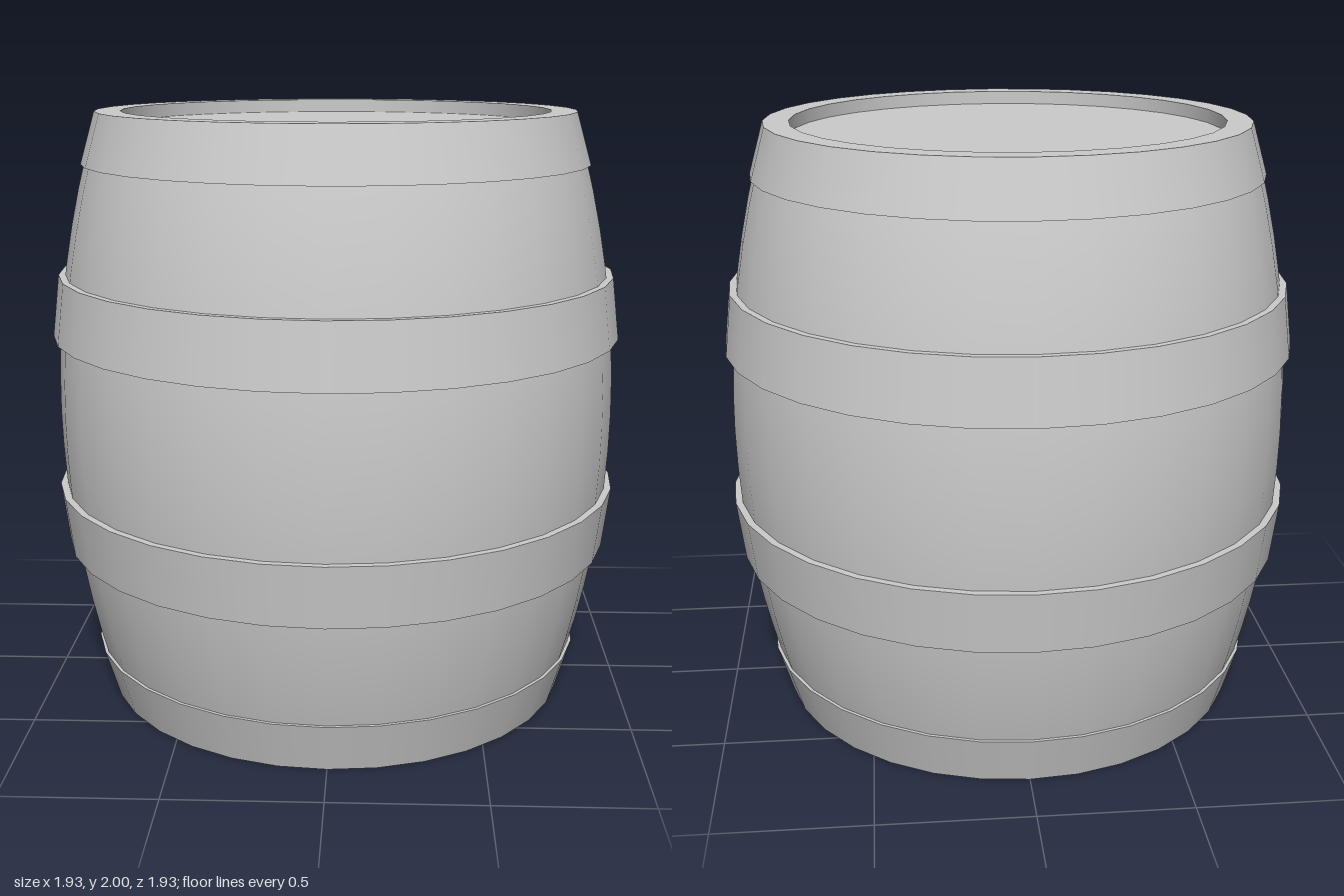
import * as THREE from 'three';
import { mergeGeometries } from 'three/addons/utils/BufferGeometryUtils.js';

const SIDES = 32;
const MID = 1; // height of the widest point
const material = new THREE.MeshStandardMaterial({ color: 0xcccccc });

// Radius of the bulging stave wall at a distance d from mid-height
const bulge = (d) => 0.95 - 0.16 * d * d;

// Revolves each strip on its own, so edges between strips stay sharp
function revolve(name, strips) {
  const parts = strips.map((strip) =>
    new THREE.LatheGeometry(strip.map(([r, y]) => new THREE.Vector2(r, y)), SIDES));
  const mesh = new THREE.Mesh(mergeGeometries(parts), material);
  mesh.name = name;
  return mesh;
}

// Places strips given as [radius, distance from middle] on the top or bottom half
function half(strips, top) {
  return strips.map((strip) => top
    ? strip.map(([r, d]) => [r, MID + d])
    : strip.map(([r, d]) => [r, MID - d]).reverse());
}

export function createModel() {
  const barrel = new THREE.Group();
  barrel.name = 'barrel';

  // Curved wall
  const wall = [];
  for (let i = 0; i <= 16; i++) {
    const d = -1 + i / 8;
    wall.push([bulge(d), MID + d]);
  }
  barrel.add(revolve('staves', [wall]));

  // Flat rim, recess wall and sunken head
  const end = [
    [[0.8, 1], [0.715, 1]],
    [[0.715, 1], [0.715, 0.955]],
    [[0.715, 0.955], [0, 0.955]],
  ];

  // Hoops: thin ledges joined by a tapered band
  const endHoop = [
    [[bulge(0.83) - 0.01, 0.83], [0.85, 0.83]],
    [[0.85, 0.83], [0.8, 1]],
  ];
  const middleHoop = [
    [[bulge(0.26) - 0.01, 0.26], [0.963, 0.26]],
    [[0.963, 0.26], [0.938, 0.465]],
    [[0.938, 0.465], [bulge(0.465) - 0.01, 0.465]],
  ];

  for (const top of [true, false]) {
    const prefix = top ? 'top' : 'bottom';
    barrel.add(revolve(prefix + 'Head', half(end, top)));
    barrel.add(revolve(prefix + 'EndHoop', half(endHoop, top)));
    barrel.add(revolve(prefix + 'MiddleHoop', half(middleHoop, top)));
  }
  return barrel;
}
